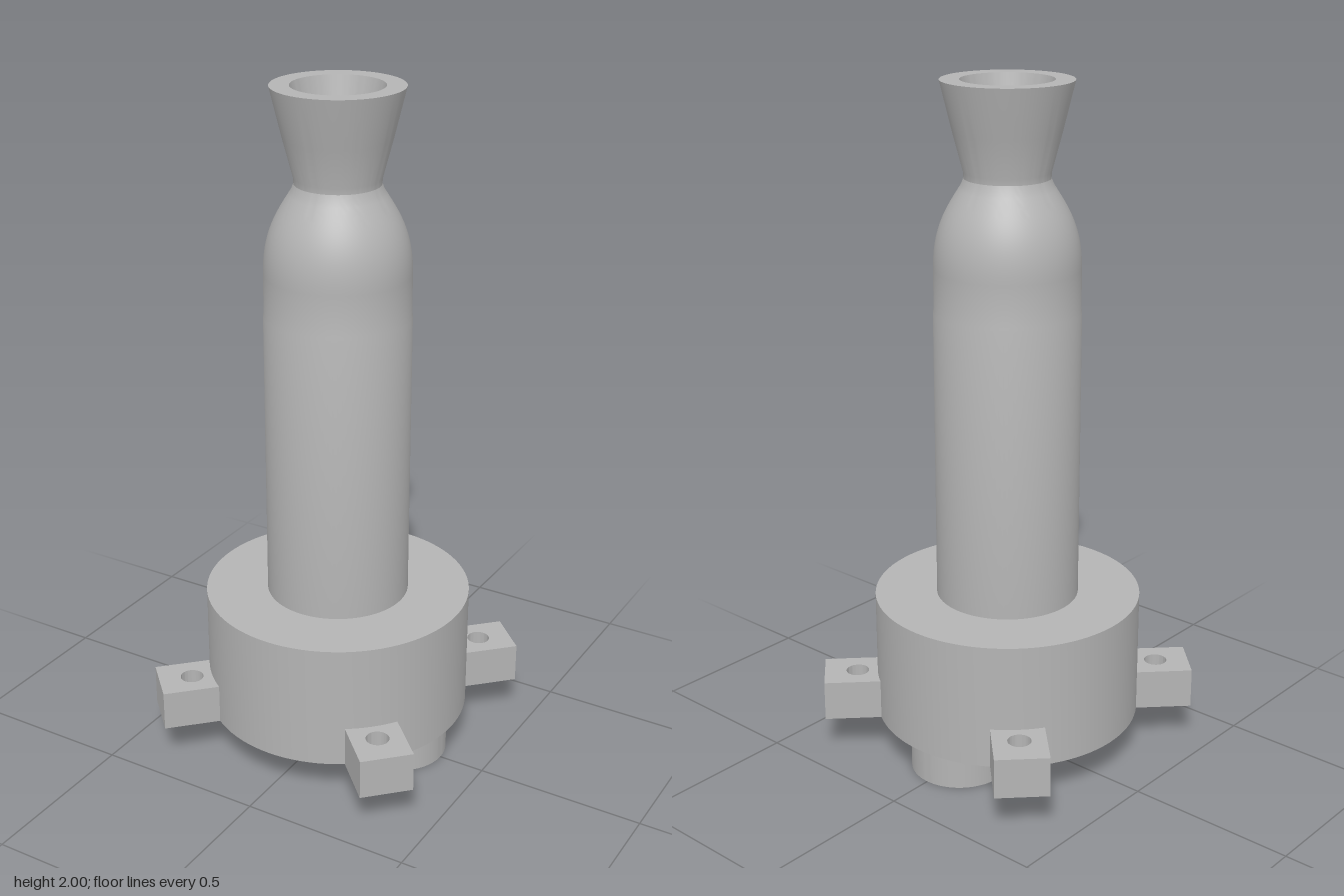
import * as THREE from 'three';
import { toCreasedNormals } from 'three/addons/utils/BufferGeometryUtils.js';

const grey = new THREE.MeshStandardMaterial({ color: 0xb4b4b4 });
grey.name = 'plain grey metal';

const CREASE = 0.3;

function part(name, geometry) {
  const mesh = new THREE.Mesh(toCreasedNormals(geometry, CREASE), grey);
  mesh.name = name;
  return mesh;
}

// Turned part from a profile of [radius, height] points
function turned(name, points) {
  return part(name, new THREE.LatheGeometry(points.map(([r, y]) => new THREE.Vector2(r, y)), 96));
}

// Closed ring with rectangular section
function ring(name, outer, inner, y0, y1) {
  return turned(name, [[inner, y0], [outer, y0], [outer, y1], [inner, y1], [inner, y0]]);
}

// Flat shape with round holes [x, y, radius], raised from y0 to y1
function plate(name, shape, holes, y0, y1) {
  for (const [x, y, r] of holes) {
    shape.holes.push(new THREE.Path().absarc(x, y, r, 0, Math.PI * 2, true));
  }
  const geometry = new THREE.ExtrudeGeometry(shape, { depth: y1 - y0, bevelEnabled: false, curveSegments: 48 });
  geometry.rotateX(-Math.PI / 2);
  geometry.translate(0, y0, 0);
  return part(name, geometry);
}

const disc = (r) => new THREE.Shape().absarc(0, 0, r, 0, Math.PI * 2, false);

export function createModel() {
  const model = new THREE.Group();
  model.name = 'thrustChamber';

  // Chamber and nozzle: rounded shoulder outside, converging and flaring bore inside
  const shoulder = new THREE.CubicBezierCurve(
    new THREE.Vector2(0.208, 1.48), new THREE.Vector2(0.208, 1.6),
    new THREE.Vector2(0.165, 1.655), new THREE.Vector2(0.128, 1.715)
  ).getPoints(14).map((p) => [p.x, p.y]);
  const inside = new THREE.CubicBezierCurve(
    new THREE.Vector2(0.063, 1.74), new THREE.Vector2(0.1, 1.66),
    new THREE.Vector2(0.155, 1.6), new THREE.Vector2(0.155, 1.48)
  ).getPoints(12).map((p) => [p.x, p.y]);
  model.add(turned('chamberAndNozzle', [
    [0.21, 0.49], [0.21, 1.355], [0.208, 1.362],
    ...shoulder, [0.121, 1.733], [0.122, 1.75], [0.151, 1.86], [0.185, 2],
    [0.13, 2], [0.095, 1.86], ...inside, [0.155, 0.49]
  ]));

  // Hollow manifold: wall, injector plate on top, inlet plate below
  model.add(ring('manifoldWall', 0.393, 0.33, 0.12, 0.495));
  const injectorHoles = [];
  for (let i = 0; i < 6; i++) {
    const a = (i * Math.PI) / 3;
    injectorHoles.push([0.075 * Math.cos(a), 0.075 * Math.sin(a), 0.017]);
  }
  model.add(plate('injectorPlate', disc(0.33), injectorHoles, 0.43, 0.495));
  const inlets = [[0.215, 0], [0, -0.215]];
  model.add(plate('inletPlate', disc(0.33), inlets.map(([x, z]) => [x, -z, 0.116]), 0.12, 0.18));

  // Two inlet pipes under the manifold
  for (const [x, z] of inlets) {
    const pipe = ring('inletPipe', 0.145, 0.116, 0, 0.122);
    pipe.position.set(x, 0, z);
    model.add(pipe);
  }

  // Four drilled mounting lugs on the diagonals
  for (let i = 0; i < 4; i++) {
    const outline = new THREE.Shape([
      new THREE.Vector2(0.37, -0.078), new THREE.Vector2(0.552, -0.078),
      new THREE.Vector2(0.552, 0.078), new THREE.Vector2(0.37, 0.078)
    ]);
    const lug = plate('mountingLug', outline, [[0.453, 0, 0.034]], 0.12, 0.24);
    lug.rotation.y = Math.PI / 4 + (i * Math.PI) / 2;
    model.add(lug);
  }

  return model;
}
